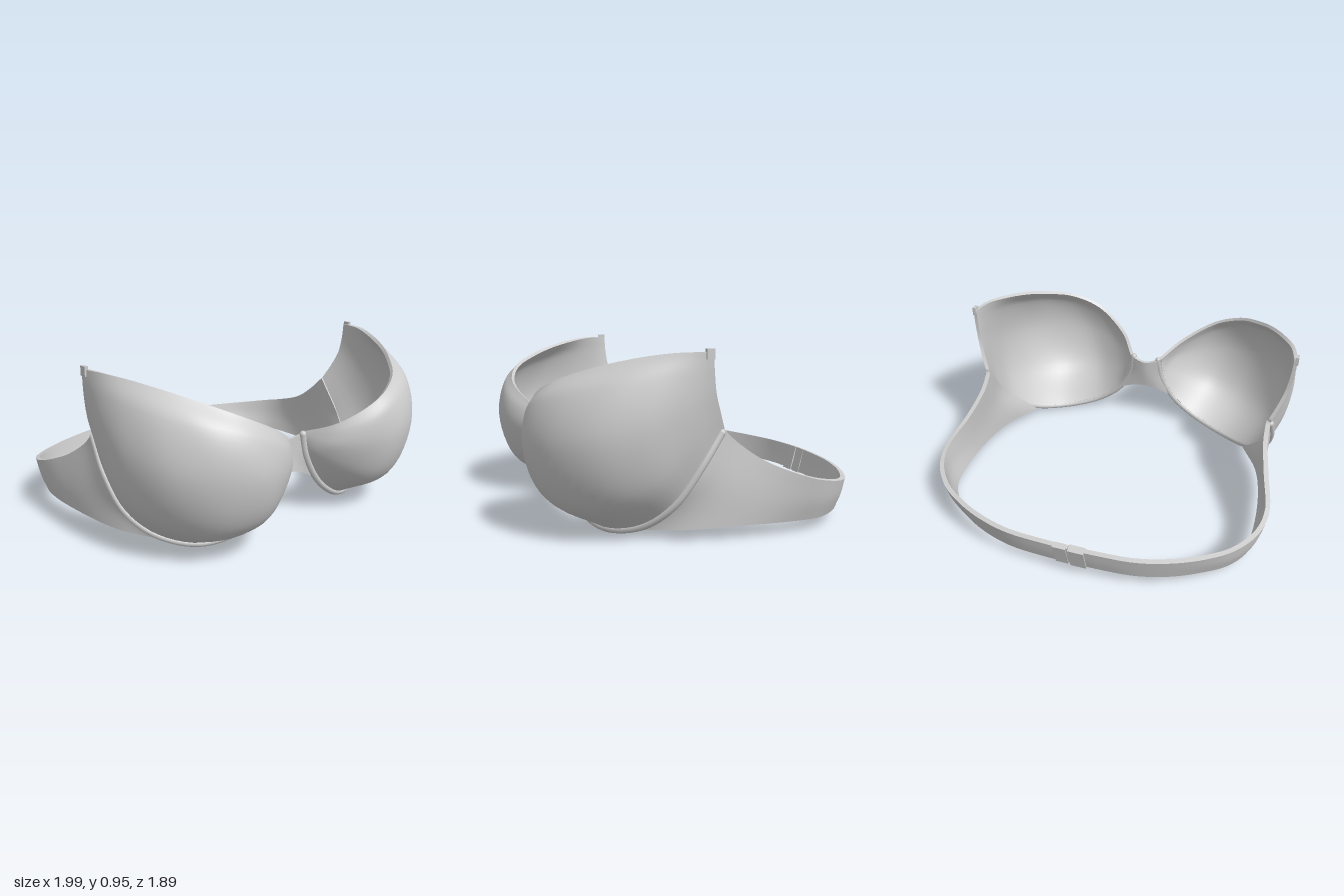
import * as THREE from 'three';

const material = new THREE.MeshStandardMaterial({ color: 0xcccccc, side: THREE.DoubleSide });
const curve = (pts) => new THREE.CatmullRomCurve3(pts.map((p) => (p.isVector3 ? p : new THREE.Vector3(...p))));

// Smooth sheet through stations (rows of points running top to bottom), thickened inwards.
function shell(stations, nu, nv, thickness) {
  const rails = stations[0].map((_, k) => curve(stations.map((s) => s[k])));
  const outer = [];
  for (let i = 0; i <= nu; i++) {
    const section = curve(rails.map((r) => r.getPoint(i / nu)));
    for (let j = 0; j <= nv; j++) outer.push(section.getPoint(j / nv));
  }
  const id = (i, j) => i * (nv + 1) + j;
  const index = [];
  for (let i = 0; i < nu; i++) {
    for (let j = 0; j < nv; j++) {
      const a = id(i, j), b = id(i, j + 1), c = id(i + 1, j), d = id(i + 1, j + 1);
      index.push(a, b, c, b, d, c);
    }
  }
  const sheet = new THREE.BufferGeometry().setFromPoints(outer);
  sheet.setIndex(index);
  sheet.computeVertexNormals();
  const normals = sheet.attributes.normal;
  const inner = outer.map((p, i) =>
    p.clone().addScaledVector(new THREE.Vector3().fromBufferAttribute(normals, i), -thickness));
  const n = outer.length;
  const points = [...outer, ...inner];
  const all = [...index];
  for (let i = 0; i < index.length; i += 3) all.push(index[i] + n, index[i + 2] + n, index[i + 1] + n);

  // Walls round the open edge, with their own vertices so the edge stays crisp
  const loop = [];
  for (let j = 0; j < nv; j++) loop.push(id(0, j));
  for (let i = 0; i < nu; i++) loop.push(id(i, nv));
  for (let j = nv; j > 0; j--) loop.push(id(nu, j));
  for (let i = nu; i > 0; i--) loop.push(id(i, 0));
  const base = points.length;
  loop.forEach((k) => points.push(outer[k], inner[k]));
  loop.forEach((_, k) => {
    const a = base + 2 * k, b = base + 2 * ((k + 1) % loop.length);
    all.push(a, a + 1, b, b, a + 1, b + 1);
  });
  const geometry = new THREE.BufferGeometry().setFromPoints(points);
  geometry.setIndex(all);
  geometry.computeVertexNormals();
  return geometry;
}

// Mirror a geometry to the other side, keeping its faces outward
function mirrored(geometry) {
  const g = geometry.clone().scale(-1, 1, 1);
  const a = g.index.array;
  for (let i = 0; i < a.length; i += 3) [a[i + 1], a[i + 2]] = [a[i + 2], a[i + 1]];
  return g;
}

// Cup sections from the centre to the underarm: neckline, upper, middle, lower, wire
const cupStations = [
  [[0.09, 0.51, 0.61], [0.09, 0.5, 0.613], [0.09, 0.485, 0.615], [0.09, 0.475, 0.613], [0.09, 0.46, 0.61]],
  [[0.2, 0.58, 0.77], [0.19, 0.53, 0.785], [0.165, 0.46, 0.77], [0.13, 0.4, 0.7], [0.11, 0.36, 0.62]],
  [[0.4, 0.7, 0.865], [0.375, 0.61, 0.905], [0.33, 0.46, 0.9], [0.265, 0.31, 0.81], [0.2, 0.2, 0.63]],
  [[0.58, 0.79, 0.815], [0.565, 0.69, 0.895], [0.52, 0.48, 0.94], [0.44, 0.23, 0.86], [0.36, 0.08, 0.62]],
  [[0.72, 0.855, 0.68], [0.735, 0.74, 0.805], [0.73, 0.5, 0.865], [0.67, 0.2, 0.79], [0.58, 0.03, 0.54]],
  [[0.81, 0.895, 0.56], [0.87, 0.78, 0.64], [0.9, 0.53, 0.7], [0.86, 0.25, 0.61], [0.76, 0.08, 0.4]],
  [[0.9, 0.93, 0.4], [0.945, 0.82, 0.45], [0.98, 0.58, 0.48], [0.95, 0.34, 0.41], [0.87, 0.2, 0.28]],
  [[0.96, 0.945, 0.27], [0.98, 0.84, 0.28], [0.99, 0.66, 0.29], [0.965, 0.5, 0.245], [0.91, 0.38, 0.16]],
  [[0.99, 0.945, 0.13], [0.985, 0.85, 0.122], [0.97, 0.75, 0.105], [0.94, 0.66, 0.07], [0.9, 0.57, 0.03]],
];

// Band sections from the wire to the centre back: top edge, middle, bottom edge
const bandStations = [
  [[0.9, 0.575, 0.04], [0.9, 0.3, 0.22], [0.76, 0.06, 0.4]],
  [[0.905, 0.49, -0.05], [0.91, 0.28, 0.06], [0.87, 0.07, 0.2]],
  [[0.94, 0.39, -0.2], [0.94, 0.22, -0.14], [0.925, 0.08, -0.06]],
  [[0.985, 0.305, -0.42], [0.965, 0.18, -0.4], [0.935, 0.075, -0.36]],
  [[0.95, 0.27, -0.57], [0.935, 0.165, -0.55], [0.91, 0.072, -0.52]],
  [[0.85, 0.245, -0.7], [0.84, 0.16, -0.685], [0.82, 0.075, -0.66]],
  [[0.72, 0.235, -0.79], [0.71, 0.16, -0.775], [0.69, 0.08, -0.755]],
  [[0.56, 0.23, -0.865], [0.55, 0.16, -0.85], [0.54, 0.08, -0.83]],
  [[0.37, 0.23, -0.92], [0.36, 0.16, -0.905], [0.36, 0.085, -0.885]],
  [[0.15, 0.235, -0.94], [0.15, 0.16, -0.925], [0.15, 0.09, -0.905]],
  [[0, 0.235, -0.942], [0, 0.16, -0.926], [0, 0.09, -0.906]],
];

// Centre bridge sections, right to left
const bridgeHalf = [
  [[0.1, 0.51, 0.615], [0.11, 0.37, 0.625], [0.16, 0.23, 0.625]],
  [[0.05, 0.487, 0.6], [0.055, 0.38, 0.605], [0.075, 0.275, 0.61]],
];
const bridgeStations = [
  ...bridgeHalf.map((s) => s.map(([x, y, z]) => [-x, y, z])),
  [[0, 0.48, 0.59], [0, 0.385, 0.595], [0, 0.29, 0.605]],
  ...[...bridgeHalf].reverse(),
];

export function createModel() {
  const model = new THREE.Group();
  const add = (name, geometry, parent = model) => {
    const mesh = new THREE.Mesh(geometry, material);
    mesh.name = name;
    parent.add(mesh);
    return mesh;
  };

  // Parts made once and mirrored
  const wire = [[0.085, 0.495, 0.608], ...cupStations.slice(0, -1).map((s) => s[4]), [0.9, 0.55, 0.045]];
  const wireEnd = (p) => new THREE.SphereGeometry(0.02, 10, 8).translate(...p);
  const sideParts = {
    Cup: shell(cupStations, 40, 24, 0.02),
    WireCasing: new THREE.TubeGeometry(curve(wire), 48, 0.02, 8),
    WireFrontEnd: wireEnd(wire[0]),
    WireUnderarmEnd: wireEnd(wire[wire.length - 1]),
    StrapTab: new THREE.BoxGeometry(0.02, 0.05, 0.04).translate(0.984, 0.937, 0.145),
    BandWing: shell(bandStations, 48, 8, 0.026),
  };
  for (const side of ['left', 'right']) {
    const group = new THREE.Group();
    group.name = side + 'Half';
    for (const [part, geometry] of Object.entries(sideParts)) {
      add(side + part, side === 'left' ? geometry : mirrored(geometry), group);
    }
    model.add(group);
  }

  add('centreBridge', shell(bridgeStations, 16, 8, 0.02));

  // Back fastening: overlapping flap and hook strip, leaning with the band
  const clasp = (name, x, width, depth) => {
    const mesh = add(name, new THREE.BoxGeometry(width, 0.155, depth));
    mesh.position.set(x, 0.163, -0.913);
    mesh.rotation.x = -0.25;
  };
  clasp('claspFlap', -0.05, 0.09, 0.042);
  clasp('claspStrip', 0.045, 0.075, 0.034);
  return model;
}
